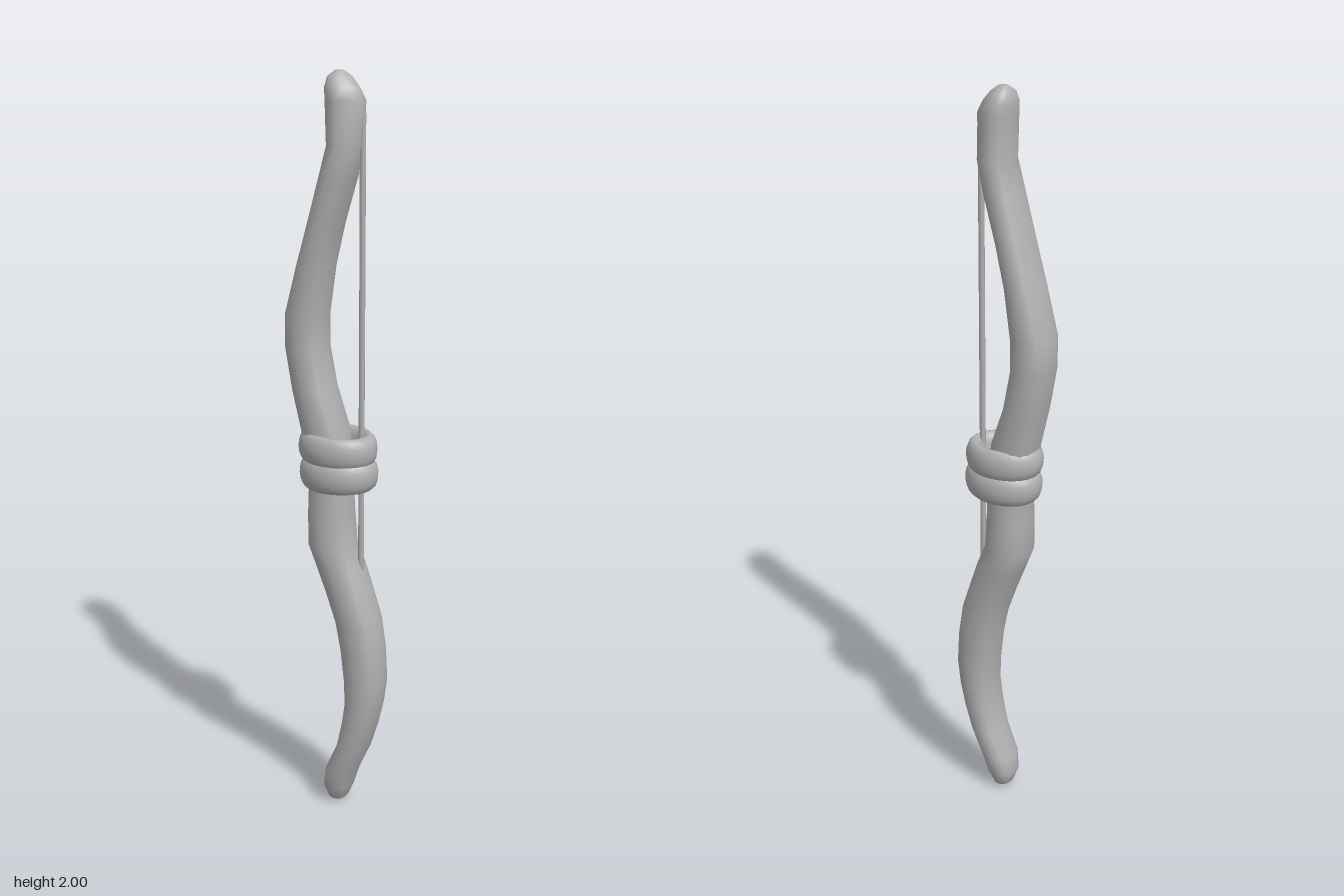
import * as THREE from 'three';

const SIDES = 16;

// Stave stations, bottom to top: y, left x, right x, half depth z, pinch of the string side
const STATIONS = [
  [0.0, -0.006, 0.01, 0.008, 0],
  [0.012, -0.022, 0.026, 0.03, 0],
  [0.05, -0.036, 0.042, 0.046, 0],
  [0.1, -0.028, 0.057, 0.055, 0],
  [0.18, 0.008, 0.093, 0.058, 0],
  [0.25, 0.024, 0.115, 0.06, 0],
  [0.32, 0.034, 0.132, 0.061, 0],
  [0.39, 0.03, 0.142, 0.062, 0],
  [0.48, 0.019, 0.137, 0.063, 0],
  [0.56, 0.002, 0.125, 0.063, 0],
  [0.64, -0.027, 0.098, 0.064, 0],
  [0.71, -0.055, 0.075, 0.066, 0.1],
  [0.77, -0.078, 0.05, 0.07, 0.2],
  [0.86, -0.078, 0.04, 0.068, 0.1],
  [0.95, -0.077, 0.036, 0.061, 0],
  [1.08, -0.1, 0.025, 0.064, 0],
  [1.19, -0.125, -0.016, 0.065, 0],
  [1.3, -0.145, -0.038, 0.064, 0],
  [1.385, -0.146, -0.036, 0.063, 0],
  [1.51, -0.11, -0.02, 0.062, 0],
  [1.62, -0.077, 0.006, 0.061, 0],
  [1.74, -0.044, 0.047, 0.06, 0.15],
  [1.82, -0.022, 0.07, 0.058, 0.3],
  [1.93, -0.028, 0.076, 0.056, 0.6],
  [1.96, -0.03, 0.058, 0.05, 0.5],
  [1.985, -0.024, 0.034, 0.036, 0.2],
  [2.0, -0.008, 0.014, 0.01, 0],
];

// Smooth closed skin over softly squared horizontal sections
function loft(stations) {
  const pos = [], index = [];
  const soft = (v) => Math.sign(v) * Math.pow(Math.abs(v), 0.85);
  stations.forEach(([y, left, right, depth, pinch]) => {
    for (let j = 0; j < SIDES; j++) {
      const a = (j / SIDES) * Math.PI * 2;
      const c = soft(Math.cos(a)), s = soft(Math.sin(a));
      pos.push((left + right) / 2 + c * (right - left) / 2, y, s * depth * (1 - pinch * Math.max(0, c)));
    }
  });
  for (let i = 0; i < stations.length - 1; i++) {
    for (let j = 0; j < SIDES; j++) {
      const a = i * SIDES + j, b = i * SIDES + (j + 1) % SIDES;
      index.push(a, a + SIDES, b, b, a + SIDES, b + SIDES);
    }
  }
  // End caps
  const top = (stations.length - 1) * SIDES;
  for (let j = 1; j < SIDES - 1; j++) {
    index.push(0, j, j + 1, top, top + j + 1, top + j);
  }
  const geo = new THREE.BufferGeometry();
  geo.setAttribute('position', new THREE.Float32BufferAttribute(pos, 3));
  geo.setIndex(index);
  geo.computeVertexNormals();
  return geo;
}

// Rounded oval band around the grip
function bandGeometry() {
  const profile = [];
  for (let i = 0; i <= 14; i++) {
    const a = -Math.PI + (i / 14) * Math.PI * 2;
    profile.push(new THREE.Vector2(0.086 + 0.023 * Math.cos(a), 0.042 * Math.sin(a)));
  }
  return new THREE.LatheGeometry(profile, 24).scale(1, 1, 0.81);
}

export function createModel() {
  const group = new THREE.Group();
  const grey = new THREE.MeshStandardMaterial({ color: 0xb0b0b0 });
  grey.name = 'plain grey';

  const add = (name, geometry, x = 0, y = 0, tilt = 0) => {
    const mesh = new THREE.Mesh(geometry, grey);
    mesh.name = name;
    mesh.position.set(x, y, 0);
    mesh.rotation.z = tilt;
    group.add(mesh);
  };

  add('stave', loft(STATIONS));

  // Two bands holding stave and string together
  const band = bandGeometry();
  add('upperGripBand', band, -0.001, 1.037, -0.02);
  add('lowerGripBand', band, 0.002, 0.968, 0.03);

  // String, buried in the stave at both ends
  add('string', new THREE.CylinderGeometry(0.008, 0.008, 1.2, 8), 0.07, 1.3);

  return group;
}
